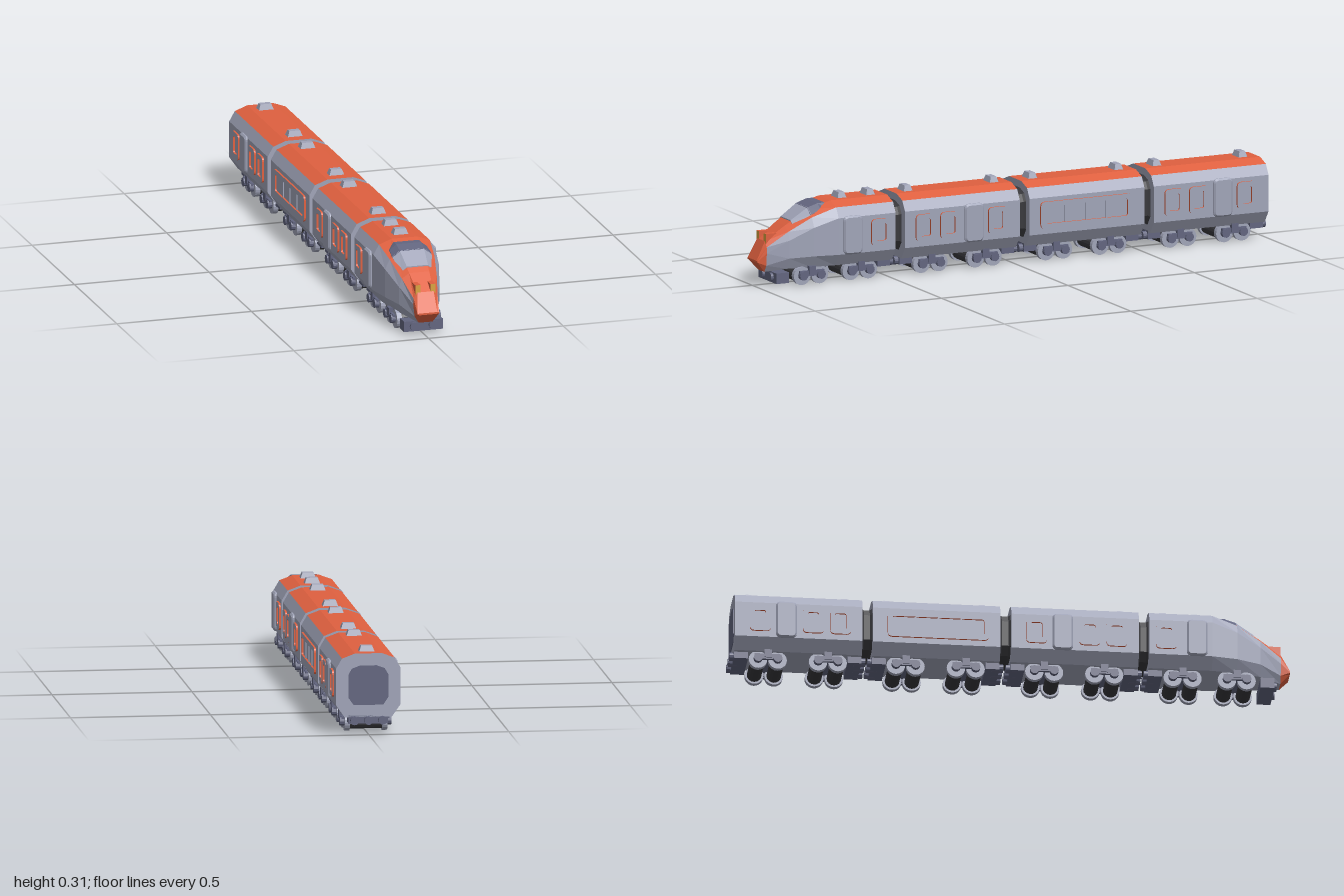
import * as THREE from 'three';

const mat = (name, color, flat = true) =>
  new THREE.MeshStandardMaterial({ name, color, flatShading: flat });
const grey = mat('body grey', 0xa0a4b8);
const orange = mat('roof orange', 0xdf603f);
const slate = mat('chassis slate', 0x62657f);
const black = mat('rubber black', 0x38383c);
const yellow = mat('lamp yellow', 0xd9a441);

function add(parent, name, geo, material, x = 0, y = 0, z = 0) {
  const m = new THREE.Mesh(geo, material);
  m.name = name;
  m.position.set(x, y, z);
  parent.add(m);
  return m;
}
const box = (w, h, d) => new THREE.BoxGeometry(w, h, d);
const cylX = (r, len, n = 16) => new THREE.CylinderGeometry(r, r, len, n).rotateZ(Math.PI / 2);
const cylZ = (r, len, n = 16) => new THREE.CylinderGeometry(r, r, len, n).rotateX(Math.PI / 2);

// Loft through mirrored half-sections { z, p: [[x, y], ...] } listed bottom to top, back to front.
// keep(j, count) picks which strips around the ring are built.
function loft(sections, keep = () => true, caps = true) {
  const rings = sections.map(({ z, p }) => [
    ...p.map(([x, y]) => [x, y, z]),
    ...[...p].reverse().map(([x, y]) => [-x, y, z]),
  ]);
  const n = rings[0].length, v = [];
  const tri = (...c) => c.forEach((q) => v.push(...q));
  for (let i = 0; i + 1 < rings.length; i++) {
    for (let j = 0; j < n; j++) {
      if (!keep(j, n)) continue;
      const k = (j + 1) % n, a = rings[i], b = rings[i + 1];
      tri(a[j], a[k], b[k]);
      tri(a[j], b[k], b[j]);
    }
  }
  if (caps) {
    const a = rings[0], b = rings[rings.length - 1];
    for (let j = 1; j < n - 1; j++) {
      tri(a[0], a[j + 1], a[j]);
      tri(b[0], b[j], b[j + 1]);
    }
  }
  const g = new THREE.BufferGeometry();
  g.setAttribute('position', new THREE.Float32BufferAttribute(v, 3));
  g.computeVertexNormals();
  return g;
}
const isRoof = (j, n) => Math.abs(j - (n / 2 - 1)) <= 1;

// Half-section of a coach: bottom, lower side, upper side, shoulder, roof edge
const coach = [[0.085, 0.062], [0.115, 0.105], [0.115, 0.237], [0.094, 0.273], [0.048, 0.29]];
const nosePart = [
  { z: 0.49, p: coach },
  { z: 0.715, p: coach },
  { z: 0.805, p: [[0.075, 0.062], [0.1, 0.105], [0.1, 0.208], [0.083, 0.243], [0.045, 0.265]] },
  { z: 0.89, p: [[0.056, 0.06], [0.075, 0.1], [0.075, 0.165], [0.065, 0.195], [0.037, 0.213]] },
  { z: 0.965, p: [[0.026, 0.05], [0.041, 0.075], [0.046, 0.12], [0.045, 0.142], [0.03, 0.162]] },
];

function shell(parent, sections) {
  add(parent, 'bodySides', loft(sections, (j, n) => !isRoof(j, n)), grey);
  add(parent, 'roof', loft(sections, isRoof, false), orange);
}

// Interpolated half-section of the front car
function sectionAt(z) {
  let i = 0;
  while (i < nosePart.length - 2 && nosePart[i + 1].z < z) i++;
  const a = nosePart[i], b = nosePart[i + 1], t = (z - a.z) / (b.z - a.z);
  return a.p.map((q, k) => q.map((c, m) => c + (b.p[k][m] - c) * t));
}

// Rounded rectangle path for doors and windows
function rounded(path, w, h, r) {
  const x = w / 2, y = h / 2;
  path.moveTo(-x + r, -y);
  path.lineTo(x - r, -y).quadraticCurveTo(x, -y, x, -y + r);
  path.lineTo(x, y - r).quadraticCurveTo(x, y, x - r, y);
  path.lineTo(-x + r, y).quadraticCurveTo(-x, y, -x, y - r);
  path.lineTo(-x, -y + r).quadraticCurveTo(-x, -y, -x + r, -y);
  return path;
}

function sidePart(parent, name, geo, material, y, z) {
  for (const s of [1, -1]) {
    add(parent, name, geo, material, s * 0.114, y, z).rotation.y = s * Math.PI / 2;
  }
}

function addWindow(parent, z, w = 0.074) {
  const h = 0.096, shape = rounded(new THREE.Shape(), w, h, 0.016);
  shape.holes.push(rounded(new THREE.Path(), w - 0.034, h - 0.034, 0.008));
  const geo = new THREE.ExtrudeGeometry(shape, { depth: 0.008, bevelEnabled: false, curveSegments: 4 });
  sidePart(parent, 'windowFrame', geo, [grey, orange], 0.174, z);
  if (w > 0.1) {
    for (const k of [-1, 0, 1]) {
      sidePart(parent, 'windowDivider', box(0.006, h - 0.034, 0.01), grey, 0.174, z + k * w * 0.226);
    }
  }
}

function addDoor(parent, z) {
  const geo = new THREE.ExtrudeGeometry(rounded(new THREE.Shape(), 0.062, 0.127, 0.012), {
    depth: 0.005, bevelThickness: 0.006, bevelSize: 0.006, bevelSegments: 1, curveSegments: 4,
  });
  sidePart(parent, 'door', geo, grey, 0.173, z);
}

function addVent(parent, z) {
  const half = (len) => [[0.028, 0.286], [0.02, 0.31]].map(([x, y]) => [x, y, len]);
  const low = half(0)[0].slice(0, 2), high = half(0)[1].slice(0, 2), lip = [0.028, 0.288];
  add(parent, 'roofVent', loft([
    { z: z - 0.018, p: [low, lip] }, { z: z - 0.011, p: [low, high] },
    { z: z + 0.011, p: [low, high] }, { z: z + 0.018, p: [low, lip] },
  ]), grey);
}

// Two-axle bogie with wheels, drums, axle boxes and side frames
function addBogie(parent, z) {
  const g = new THREE.Group();
  g.name = 'bogie';
  g.position.z = z;
  parent.add(g);
  add(g, 'bolster', box(0.13, 0.022, 0.06), slate, 0, 0.058, 0);
  for (const dz of [-0.035, 0.035]) {
    add(g, 'axleDrum', cylX(0.026, 0.118), black, 0, 0.033, dz);
    for (const s of [-1, 1]) {
      add(g, 'wheel', cylX(0.033, 0.018, 20), grey, s * 0.067, 0.033, dz);
      add(g, 'axleBox', cylX(0.016, 0.016, 12), slate, s * 0.084, 0.035, dz);
    }
  }
  for (const s of [-1, 1]) {
    add(g, 'sideFrame', box(0.012, 0.02, 0.096), slate, s * 0.08, 0.042, 0);
    add(g, 'springBlock', box(0.018, 0.03, 0.026), slate, s * 0.081, 0.053, 0);
  }
}

// Coupling beam and buffers at a car end, dir = -1 towards the back, +1 towards the front
function addCoupling(parent, z, dir) {
  add(parent, 'couplingBeam', box(0.14, 0.03, 0.05), slate, 0, 0.053, z - dir * 0.025);
  for (const x of [-0.05, 0, 0.05]) {
    add(parent, 'buffer', cylZ(0.015, 0.04, 12), slate, x, 0.05, z - dir * 0.005);
  }
}

function addBellows(parent, z0, z1) {
  const ring = (k) => coach.map(([x, y]) => [x * k, 0.18 + (y - 0.18) * k]);
  add(parent, 'bellows', loft([
    { z: z0 - 0.003, p: ring(0.78) }, { z: z0 + 0.008, p: ring(0.72) },
    { z: z1 - 0.008, p: ring(0.72) }, { z: z1 + 0.003, p: ring(0.78) },
  ]), black);
}

function createCoach(name, z, longWindow) {
  const g = new THREE.Group(), h = 0.227;
  g.name = name;
  g.position.z = z;
  shell(g, [{ z: -h, p: coach }, { z: h, p: coach }]);
  if (longWindow) {
    addWindow(g, 0.005, 0.36);
  } else {
    for (const w of [0.148, 0.051, -0.138]) addWindow(g, w);
    addDoor(g, -0.045);
  }
  for (const s of [-1, 1]) {
    addVent(g, s * 0.17);
    addBogie(g, s * 0.107);
    addCoupling(g, s * h, s);
  }
  return g;
}

function createFrontCar() {
  const g = new THREE.Group();
  g.name = 'frontCar';
  shell(g, nosePart);
  // Nose tip folding down to a horizontal edge
  const last = nosePart[nosePart.length - 1];
  const tip = last.p.map(([x, y]) => [Math.min(x * 1.1, 0.04), 0.09 + (y - 0.09) * 0.06]);
  add(g, 'noseTip', loft([last, { z: 0.999, p: tip }]), orange);
  // Windscreen raised from the hood, with a dark brow behind it
  const raised = (z, k, lift) => {
    const p = sectionAt(z), b = p[3], a = p[4];
    return { z, p: [[b[0] * k, b[1] - 0.02], [b[0] * k, b[1] + lift], [a[0], a[1] + lift]] };
  };
  add(g, 'windscreenBrow', loft([raised(0.738, 0.72, 0.001), raised(0.765, 0.82, 0.008), raised(0.806, 0.88, 0.007)]), slate);
  add(g, 'windscreen', loft([raised(0.803, 0.88, 0.007), raised(0.868, 0.86, 0.004)]), grey);
  // Headlamp fins with coloured front faces
  for (const s of [-1, 1]) {
    add(g, 'headlampFin', box(0.019, 0.04, 0.07), [orange, orange, orange, orange, yellow, orange], s * 0.028, 0.169, 0.93);
  }
  addDoor(g, 0.66);
  addWindow(g, 0.55);
  for (const z of [0.545, 0.658]) addVent(g, z);
  for (const z of [0.612, 0.805]) addBogie(g, z);
  addCoupling(g, 0.49, -1);
  // Front buffer beam
  add(g, 'frontBeam', box(0.144, 0.038, 0.05), slate, 0, 0.031, 0.915);
  for (const s of [-1, 1]) add(g, 'frontBuffer', cylZ(0.016, 0.014), slate, s * 0.035, 0.032, 0.943);
  return g;
}

export function createModel() {
  const train = new THREE.Group();
  train.name = 'train';
  train.add(
    createFrontCar(),
    createCoach('firstCoach', 0.226, false),
    createCoach('diningCoach', -0.267, true),
    createCoach('rearCoach', -0.758, false),
  );
  addBellows(train, 0.453, 0.49);
  addBellows(train, -0.04, -0.001);
  addBellows(train, -0.531, -0.494);
  // Gangway panel on the rear wall
  const panel = coach.map(([x, y]) => [x * 0.62, 0.176 + (y - 0.176) * 0.62]);
  add(train, 'rearGangway', loft([{ z: -0.988, p: panel }, { z: -0.984, p: panel }]), slate);
  for (const x of [-0.05, 0, 0.05]) add(train, 'rearBuffer', cylZ(0.015, 0.03, 12), slate, x, 0.05, -0.985);
  return train;
}
